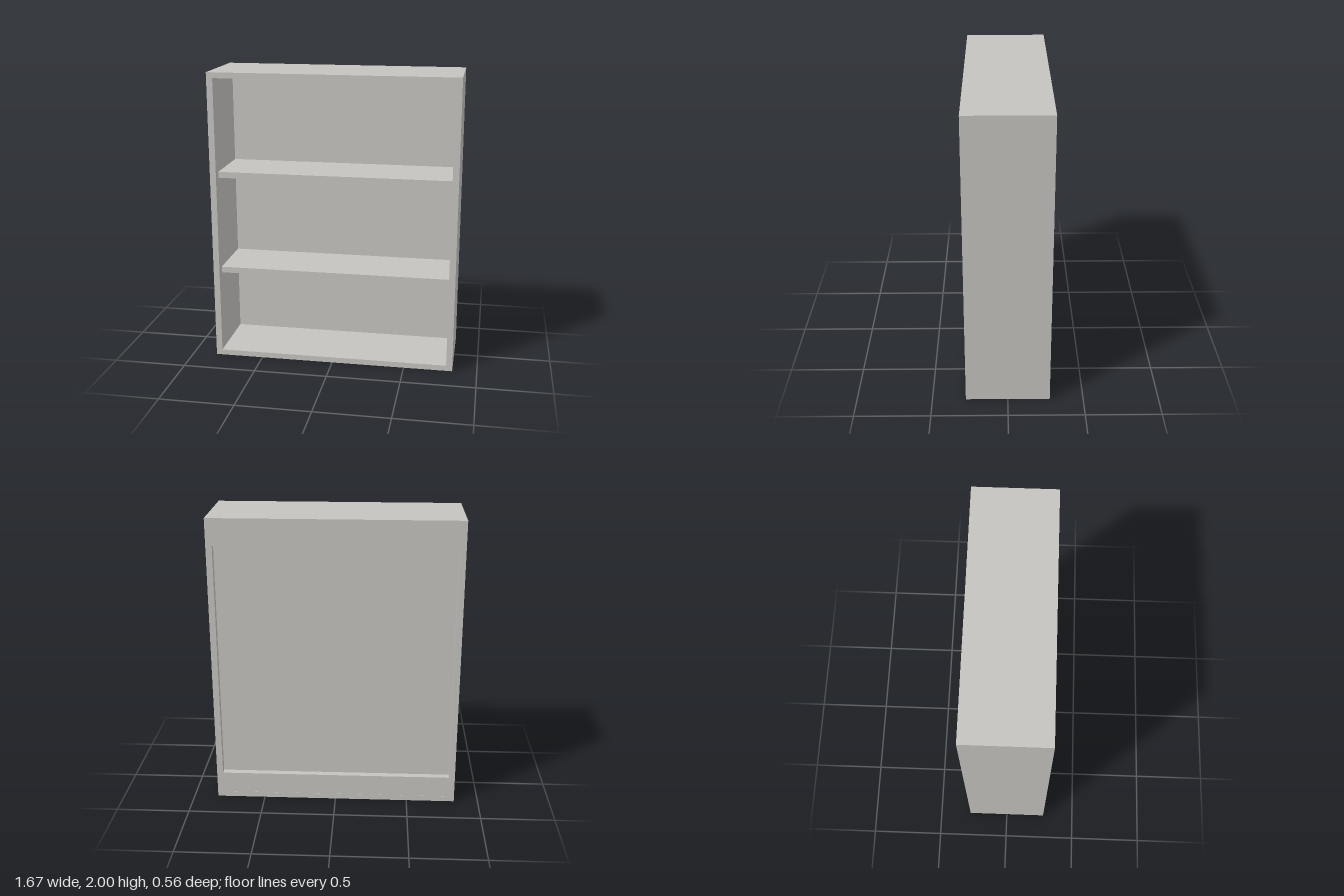
import * as THREE from 'three';

const W = 1.667, H = 2, D = 0.557; // overall size
const SIDE = 0.042, DECK = 0.038, BOARD = 0.042; // board thicknesses

export function createModel() {
  const group = new THREE.Group();
  group.name = 'bookcase';
  const paint = new THREE.MeshStandardMaterial({ color: 0xc4c3bf });
  paint.name = 'warm grey';

  // Board given by its size and the centre x, bottom y and front z
  function board(name, w, h, d, x, y, zFront) {
    const mesh = new THREE.Mesh(new THREE.BoxGeometry(w, h, d), paint);
    mesh.name = name;
    mesh.position.set(x, y + h / 2, zFront - d / 2);
    group.add(mesh);
  }

  const inner = W - 2 * SIDE;
  const front = D / 2;

  // Carcass
  board('leftSide', SIDE, H, D, (W - SIDE) / 2, 0, front);
  board('rightSide', SIDE, H, D, -(W - SIDE) / 2, 0, front);
  board('bottomBoard', inner, DECK, D, 0, 0, front);
  board('topBoard', inner, DECK, D, 0, H - DECK, front);

  // Recessed back panel
  const panelFront = -0.19;
  board('backPanel', inner, H - 2 * DECK, BOARD, 0, DECK, panelFront);

  // Rails across the back, all but flush with the carcass
  const railFront = panelFront - BOARD;
  const railDepth = railFront + D / 2 - 0.001;
  const railHeight = 0.147;
  board('lowerBackRail', inner, railHeight, railDepth, 0, DECK, railFront);
  board('upperBackRail', inner, railHeight, railDepth, 0, H - DECK - railHeight, railFront);

  // Shelves, set back from the front edge
  const shelfFront = front - 0.055;
  [0.6, 1.28].forEach((y, i) =>
    board(`shelf${i + 1}`, inner, 0.041, shelfFront - panelFront, 0, y, shelfFront));

  return group;
}
